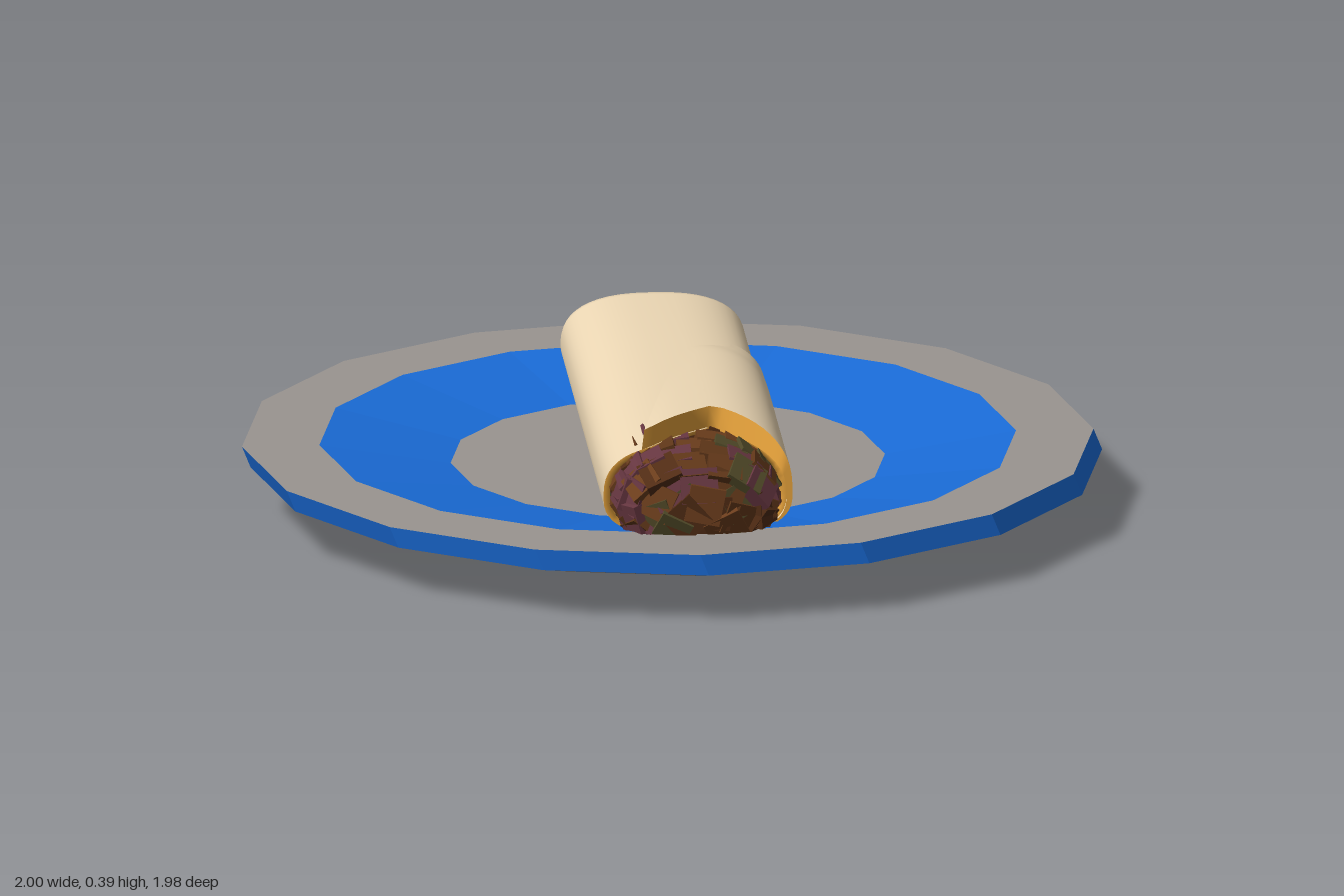
import * as THREE from 'three';

const COLORS = { wrap: 0xecd7b4, inside: 0xe9a43c, blue: 0x1a6cd8, grey: 0x9a9590 };
const FILLING = [0x5f3618, 0x512c14, 0x6b3d1c, 0x663640, 0x514a28];
const clamp = (v) => Math.min(1, Math.max(0, v));

function makeMesh(name, geometry, color, options = {}) {
  const mesh = new THREE.Mesh(geometry, new THREE.MeshStandardMaterial({ color, ...options }));
  mesh.name = name;
  return mesh;
}

// Surface through rows x cols points given by a rule; optionally closed around.
function grid(rows, cols, point, closed = false) {
  const pos = [], index = [];
  for (let i = 0; i < rows; i++) for (let j = 0; j < cols; j++) pos.push(...point(i, j));
  for (let i = 0; i < rows - 1; i++) {
    for (let j = 0; j < (closed ? cols : cols - 1); j++) {
      const k = (j + 1) % cols;
      const a = i * cols + j, b = i * cols + k, c = a + cols, d = b + cols;
      index.push(a, b, c, b, d, c);
    }
  }
  const g = new THREE.BufferGeometry();
  g.setAttribute('position', new THREE.Float32BufferAttribute(pos, 3));
  g.setIndex(index);
  g.computeVertexNormals();
  return g;
}

// Squarish oval cross-section, taller above its middle than below.
const POWER = 2.6;
const MID_Y = 0.215;
function section(t, cx, a, top, bottom = 0.1) {
  const c = Math.cos(t), s = Math.sin(t);
  const x = cx + a * Math.sign(c) * Math.abs(c) ** (2 / POWER);
  const y = MID_Y + (s > 0 ? top : bottom) * Math.sign(s) * Math.abs(s) ** (2 / POWER);
  return [x, y];
}
const bodySection = (t, h = 1) => section(t, 0.003, 0.213, 0.125 * h);

// The front opening dips back at the top.
const frontZ = (x, y) =>
  0.66 - 0.14 * Math.max(0, 1 - Math.abs(x - 0.055) / 0.16) * clamp((y - 0.25) / 0.06);

function lerpTable(table, v) {
  for (let i = 1; i < table.length; i++) {
    const [v0, x0] = table[i - 1], [v1, x1] = table[i];
    if (v <= v1) return x0 + (x1 - x0) * (v - v0) / (v1 - v0);
  }
  return table[table.length - 1][1];
}

function createPlate() {
  const plate = new THREE.Group();
  plate.name = 'plate';
  const band = (name, points, color, shift) => {
    const g = new THREE.LatheGeometry(points.map(([r, y]) => new THREE.Vector2(r, y)), 16);
    // upper and lower rings sit slightly off each other
    const p = g.attributes.position;
    for (let i = 0; i < p.count; i++) {
      p.setX(i, p.getX(i) + (shift ?? (p.getY(i) > 0.14 ? -0.01 : 0.01)));
    }
    plate.add(makeMesh(name, g, color, { flatShading: true, side: THREE.DoubleSide }));
  };
  band('foot', [[0, 0], [0.36, 0], [0.36, 0.04]], COLORS.grey, 0.01);
  band('undersideRing', [[0.36, 0.04], [0.73, 0.04]], COLORS.blue, 0.01);
  band('undersideSlope', [[0.73, 0.04], [0.99, 0.115]], COLORS.grey, 0.01);
  band('outerEdge', [[0.99, 0.115], [0.99, 0.165]], COLORS.blue);
  band('rim', [[0.99, 0.165], [0.81, 0.165]], COLORS.grey, -0.01);
  band('innerSlope', [[0.81, 0.165], [0.505, 0.115]], COLORS.blue, -0.01);
  band('plateFloor', [[0.505, 0.115], [0, 0.115]], COLORS.grey, -0.01);
  return plate;
}

function createWrap() {
  const wrap = new THREE.Group();
  wrap.name = 'wrap';
  const side = { side: THREE.DoubleSide };

  // Main roll: closed rounded back end, open front; [z, height, end bow]
  const N = 48;
  const rows = [[-0.715, 0, 1], [-0.715, 0.15, 1], [-0.705, 0.42, 0.9], [-0.68, 0.72, 0.6],
    [-0.645, 0.93, 0.25], [-0.6, 1, 0], [-0.2, 1, 0], [0.2, 1, 0], [0.45, 1, 0], [null, 1, 0]];
  const angle = (j) => (j / N) * Math.PI * 2;
  wrap.add(makeMesh('roll', grid(rows.length, N, (i, j) => {
    const [z, h, bow] = rows[i];
    if (i === 0) return [0.003, 0.18, z];
    const [x, y] = bodySection(angle(j), h);
    return [x, y, z === null ? frontZ(x, y) : z + bow * 0.065 * (x / 0.21) ** 2];
  }, true), COLORS.wrap, side));

  // Inside of the roll around the opening
  wrap.add(makeMesh('rollLining', grid(3, N, (i, j) => {
    const [x, y] = bodySection(angle(j));
    const k = i === 0 ? 1 : 0.93;
    return [x * k, MID_Y + (y - MID_Y) * k, i === 2 ? 0.38 : frontZ(x, y)];
  }, true), COLORS.inside, side));

  // Overlapping flap: its free edge runs diagonally over the top
  const edge = [[0, 0.15], [0.11, 0.14], [0.32, 0.02], [1, -0.115]];
  const R = 26, C = 26, START = -0.9, CX = 0.01, A = 0.22;
  const flapAngle = (v, j) => {
    const q = (lerpTable(edge, v) - CX) / A;
    const end = Math.acos(Math.sign(q) * Math.abs(q) ** (POWER / 2));
    return START + (end - START) * (j / (C - 1));
  };
  const flapPoint = (v, j) => {
    const drop = 0.03 * Math.max(0, 1 - v * 4);
    const [x, y] = section(flapAngle(v, j), CX, A, 0.177 - drop);
    return [x, y, -0.16 + v * (frontZ(x, y) + 0.16)];
  };
  // Point on the roll straight below the flap
  const underPoint = (v, j) => {
    const [x, , z] = flapPoint(v, j);
    const [bx, by] = bodySection(flapAngle(v, j));
    return [j === C - 1 ? x - 0.006 : bx, by - 0.004, z];
  };
  wrap.add(makeMesh('flap', grid(R, C, (i, j) => flapPoint(i / (R - 1), j)), COLORS.wrap, side));
  wrap.add(makeMesh('flapEdge', grid(R, 2, (i, k) =>
    (k ? underPoint : flapPoint)(i / (R - 1), C - 1)), COLORS.inside, side));
  wrap.add(makeMesh('flapFrontEdge', grid(2, C, (k, j) =>
    (k ? underPoint : flapPoint)(1, j)), COLORS.inside, side));
  wrap.add(makeMesh('flapBackEdge', grid(2, C, (k, j) =>
    (k ? underPoint : flapPoint)(0, j)), COLORS.wrap, side));
  return wrap;
}

function createFilling() {
  const filling = new THREE.Group();
  filling.name = 'filling';
  let seed = 11;
  const rand = () => (seed = (seed * 16807) % 2147483647) / 2147483647;

  // Solid core with a blunt front; [z, scale]
  const core = [[0.4, 0.9], [0.72, 0.93], [0.77, 0.82], [0.8, 0.6], [0.81, 0]];
  const at = (t, k) => {
    const [x, y] = section(t, 0.003, 0.185, 0.115, 0.09);
    return [x * k, MID_Y + (y - MID_Y) * k];
  };
  filling.add(makeMesh('fillingCore', grid(core.length, 20, (i, j) =>
    [...at(j / 20 * Math.PI * 2, core[i][1]), core[i][0]], true),
  FILLING[0], { flatShading: true, side: THREE.DoubleSide }));

  // Chunks in rings over the core; [z, scale, count, forward tilt]
  const rings = [[0.5, 0.92, 16, 0], [0.57, 0.92, 16, 0], [0.64, 0.92, 16, 0], [0.71, 0.91, 16, 0.1],
    [0.765, 0.8, 15, 0.5], [0.793, 0.52, 10, 1.2], [0.803, 0.18, 5, 1.5]];
  rings.forEach(([z, k, count, tilt], r) => {
    for (let n = 0; n < count; n++) {
      const t = ((n + (r % 2) / 2) / count) * Math.PI * 2;
      const [x, y] = at(t, k);
      const size = [0.075 + rand() * 0.015, 0.028 + rand() * 0.012, 0.075 + rand() * 0.015];
      const chunk = makeMesh('chunk', new THREE.BoxGeometry(...size),
        FILLING[Math.floor(rand() * FILLING.length)]);
      chunk.position.set(x, y, z + (rand() - 0.5) * 0.012);
      // turn the flat face outward, then tip it toward the front
      const turn = Math.atan2(Math.sin(t) * 1.5, Math.cos(t)) - Math.PI / 2;
      chunk.rotation.set(tilt, (rand() - 0.5) * 0.2, turn + (rand() - 0.5) * 0.15, 'ZXY');
      filling.add(chunk);
    }
  });
  return filling;
}

export function createModel() {
  const model = new THREE.Group();
  model.name = 'wrapOnPlate';
  model.add(createPlate(), createWrap(), createFilling());
  return model;
}
